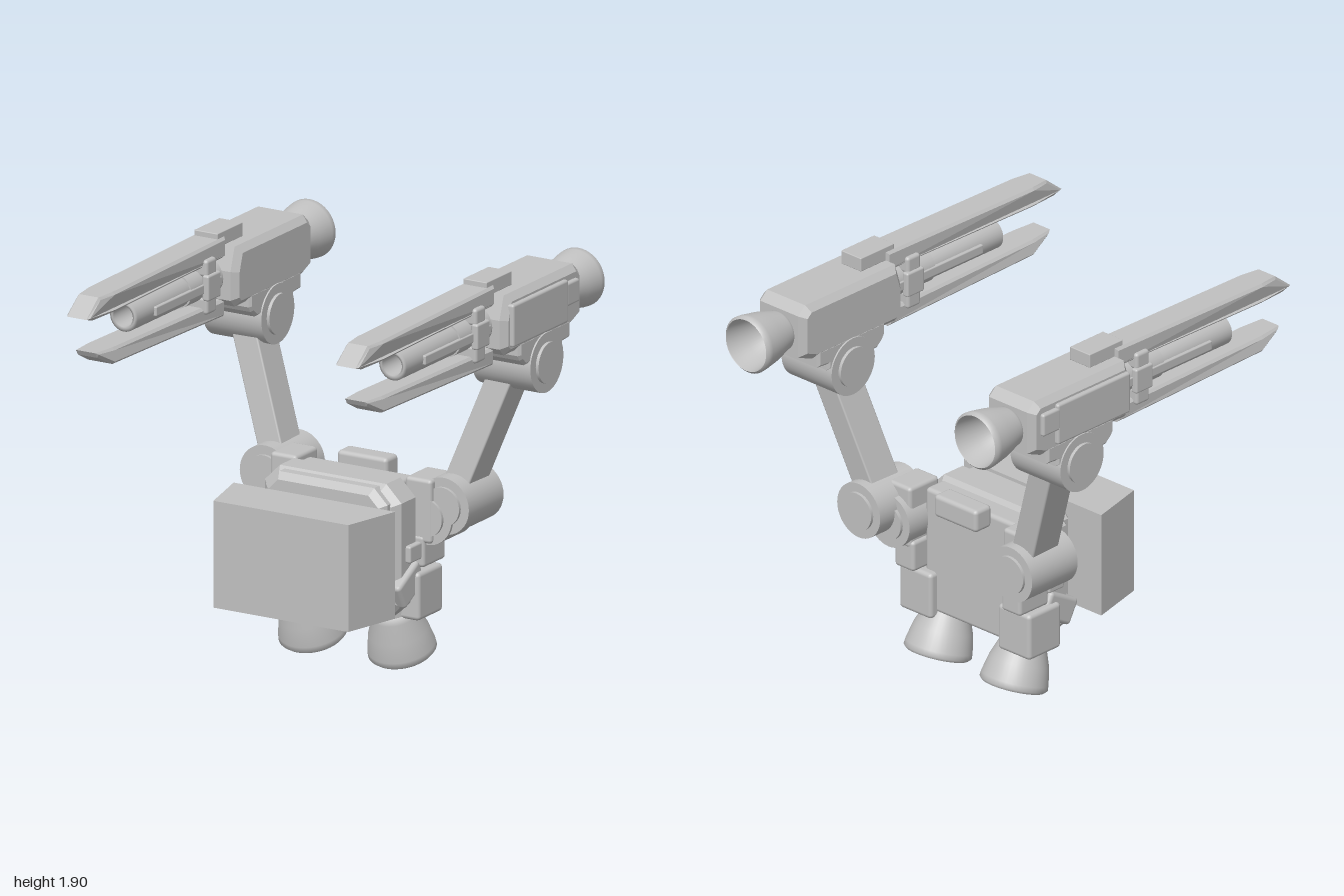
import * as THREE from 'three';
import { RoundedBoxGeometry } from 'three/addons/geometries/RoundedBoxGeometry.js';

const grey = new THREE.MeshStandardMaterial({ color: 0xc0c0c0 });
grey.name = 'light grey';

function add(parent, name, geo, x = 0, y = 0, z = 0) {
  const mesh = new THREE.Mesh(geo, grey);
  mesh.name = name;
  mesh.position.set(x, y, z);
  parent.add(mesh);
  return mesh;
}

// Box with softened edges, given by centre and size
function block(parent, name, [x, y, z], [w, h, d], r = 0.015) {
  return add(parent, name, new RoundedBoxGeometry(w, h, d, 2, r), x, y, z);
}

// Bevelled extrusion centred on its depth
function slab(points, width, bevel) {
  const shape = new THREE.Shape(points.map(p => new THREE.Vector2(...p)));
  const depth = width - 2 * bevel;
  const geo = new THREE.ExtrudeGeometry(shape, {
    depth, steps: 1, bevelEnabled: bevel > 0, bevelSize: bevel,
    bevelThickness: bevel, bevelOffset: -bevel, bevelSegments: 1,
  });
  return geo.translate(0, 0, -depth / 2);
}

// Extrusion of a [z, y] outline across x
const sideSlab = (points, width, bevel) => slab(points, width, bevel).rotateY(-Math.PI / 2);

// Cylinder with a smaller raised disc on each end
function joint(parent, name, pos, r, length, axis) {
  const group = new THREE.Group();
  group.name = name;
  group.position.set(...pos);
  add(group, 'jointDrum', new THREE.CylinderGeometry(r, r, length, 40));
  add(group, 'jointCap', new THREE.CylinderGeometry(r * 0.68, r * 0.68, length + 0.03, 40));
  if (axis === 'x') group.rotation.z = Math.PI / 2;
  else group.rotation.x = Math.PI / 2;
  parent.add(group);
}

// Hollow nozzle, open at y = 0
function bell(rOpen, rNeck, h) {
  const outer = [[rOpen - 0.012, 0], [rOpen, 0.012], [rOpen - 0.002, h * 0.15],
    [rOpen * 0.65 + rNeck * 0.35, h * 0.5], [rNeck * 1.06, h * 0.85], [rNeck, h]];
  const inner = [[0, h * 0.8], [rNeck * 0.75, h * 0.78],
    [rOpen * 0.6 + rNeck * 0.25, h * 0.45], [rOpen - 0.014, 0.004], [rOpen - 0.012, 0]];
  const all = [[0, h], ...outer.reverse(), ...inner.reverse()];
  const geo = new THREE.LatheGeometry(all.reverse().map(p => new THREE.Vector2(...p)), 40);
  return geo;
}

function octagon(w, y0, y1, c) {
  return [[-w + c, y0], [w - c, y0], [w, y0 + c], [w, y1 - c],
    [w - c, y1], [-w + c, y1], [-w, y1 - c], [-w, y0 + c]];
}

// Rail with a bladed, narrowing tip
function rail(points) {
  const geo = sideSlab(points, 0.15, 0.012);
  const p = geo.attributes.position;
  for (let i = 0; i < p.count; i++) if (p.getZ(i) > 0.82) p.setX(i, p.getX(i) * 0.8);
  geo.computeVertexNormals();
  return geo;
}

function makeTorso(root) {
  const torso = new THREE.Group();
  torso.name = 'torso';
  add(torso, 'torsoShell', slab(octagon(0.36, 0.26, 0.9, 0.08), 0.19, 0.035), 0, 0, -0.105);
  add(torso, 'chestPlate', slab(octagon(0.32, 0.285, 0.89, 0.07), 0.14, 0.03), 0, 0, -0.03);
  block(torso, 'backPlate', [0, 0.58, -0.2], [0.56, 0.6, 0.18], 0.02);
  block(torso, 'backVent', [0, 0.875, -0.338], [0.265, 0.11, 0.105], 0.02);
  root.add(torso);

  // Tapered shield standing in front of the chest
  const plan = [[-0.425, 0.115], [0.425, 0.115], [0.355, 0.4], [-0.355, 0.4]];
  add(root, 'frontShield', slab(plan, 0.5, 0).rotateX(Math.PI / 2), 0, 0.585, 0);
}

function makeThruster(root, s) {
  block(root, 'shoulderPlate', [s * 0.355, 0.75, -0.285], [0.14, 0.3, 0.19], 0.018);
  block(root, 'hipLink', [s * 0.33, 0.56, -0.28], [0.12, 0.15, 0.19], 0.018);
  block(root, 'hipBlock', [s * 0.305, 0.367, -0.225], [0.2, 0.225, 0.21], 0.02);
  block(root, 'sideClip', [s * 0.345, 0.572, -0.13], [0.08, 0.08, 0.1], 0.01);
  const knuckle = block(root, 'hipKnuckle', [s * 0.34, 0.43, -0.1], [0.09, 0.13, 0.2], 0.02);
  knuckle.rotation.x = 0.5;

  const group = new THREE.Group();
  group.name = 'lowerThruster';
  group.position.set(s * 0.235, 0.056, -0.257);
  group.rotation.x = 0.33;
  add(group, 'thrusterBell', bell(0.157, 0.1, 0.24));
  add(group, 'thrusterCollar', new THREE.CylinderGeometry(0.085, 0.1, 0.1, 32), 0, 0.28, 0);
  root.add(group);
}

function makeArm(root, s) {
  joint(root, 'innerShoulderJoint', [s * 0.39, 0.72, -0.31], 0.13, 0.2, 'z');
  joint(root, 'shoulderJoint', [s * 0.47, 0.78, -0.372], 0.133, 0.295, 'z');
  joint(root, 'elbowJoint', [s * 0.708, 1.453, -0.468], 0.14, 0.31, 'x');

  // Straight arm between the two joints
  const a = new THREE.Vector3(s * 0.456, 0.78, -0.37);
  const b = new THREE.Vector3(s * 0.697, 1.44, -0.463);
  const dir = b.clone().sub(a);
  const arm = block(root, 'upperArm', a.clone().add(b).multiplyScalar(0.5).toArray(),
    [0.128, dir.length(), 0.17], 0.008);
  arm.quaternion.setFromUnitVectors(new THREE.Vector3(0, 1, 0), dir.normalize());
}

function makeCannon(root, s) {
  const gun = new THREE.Group();
  gun.name = 'cannon';
  gun.position.x = s * 0.708;

  // Housing and its mount
  add(gun, 'housing', sideSlab([[-0.16, 1.84], [-0.74, 1.84], [-0.785, 1.8], [-0.785, 1.595],
    [-0.7, 1.56], [-0.16, 1.56], [-0.125, 1.595], [-0.125, 1.73]], 0.295, 0.03));
  add(gun, 'mount', sideSlab([[-0.25, 1.6], [-0.25, 1.535], [-0.265, 1.51], [-0.3, 1.48],
    [-0.62, 1.48], [-0.62, 1.51], [-0.685, 1.515], [-0.685, 1.6]], 0.295, 0.012));
  block(gun, 'sidePanel', [s * 0.145, 1.7, -0.4], [0.045, 0.2, 0.47], 0.012);
  block(gun, 'sideTab', [s * 0.145, 1.728, -0.675], [0.045, 0.11, 0.11], 0.012);
  block(gun, 'sight', [0, 1.872, -0.213], [0.124, 0.066, 0.215], 0.004);

  // Upper and lower rails
  add(gun, 'upperRail', rail([[0.99, 1.785], [0.89, 1.865], [0.79, 1.867], [-0.16, 1.88],
    [-0.16, 1.785], [0.79, 1.772], [0.94, 1.77]]));
  add(gun, 'lowerRail', rail([[0.915, 1.61], [0.79, 1.608], [-0.15, 1.592],
    [-0.15, 1.51], [0.79, 1.53], [0.9, 1.585]]));

  // Hollow barrel with side strips and clamp
  const tube = [[0, 0.3], [0.05, 0.3], [0.05, 0.595], [0.06, 0.595], [0.073, 0.59],
    [0.073, -0.15], [0, -0.15]].reverse().map(p => new THREE.Vector2(...p));
  const smoothTube = new THREE.LatheGeometry(tube, 32);
  add(gun, 'barrel', smoothTube.rotateX(Math.PI / 2), 0, 1.692, 0);
  for (const k of [-1, 1]) {
    block(gun, 'barrelStrip', [k * 0.072, 1.688, 0.17], [0.026, 0.045, 0.56], 0.006);
    block(gun, 'clampSide', [k * 0.09, 1.692, -0.01], [0.035, 0.12, 0.11], 0.01);
    block(gun, 'clampEnd', [0, 1.692 + k * 0.088, -0.007], [0.19, 0.08, 0.085], 0.015);
  }
  add(gun, 'barrelSleeve', new THREE.CylinderGeometry(0.08, 0.08, 0.29, 32).rotateX(Math.PI / 2),
    0, 1.692, 0);

  // Rear nozzle
  add(gun, 'rearNozzle', bell(0.137, 0.09, 0.24).rotateX(Math.PI / 2), 0, 1.692, -1);
  root.add(gun);
}

export function createModel() {
  const root = new THREE.Group();
  root.name = 'cannonBackpack';
  makeTorso(root);
  for (const s of [1, -1]) {
    makeThruster(root, s);
    makeArm(root, s);
    makeCannon(root, s);
  }
  // Lathe surfaces are thin shells, so both faces show
  grey.side = THREE.DoubleSide;
  return root;
}
